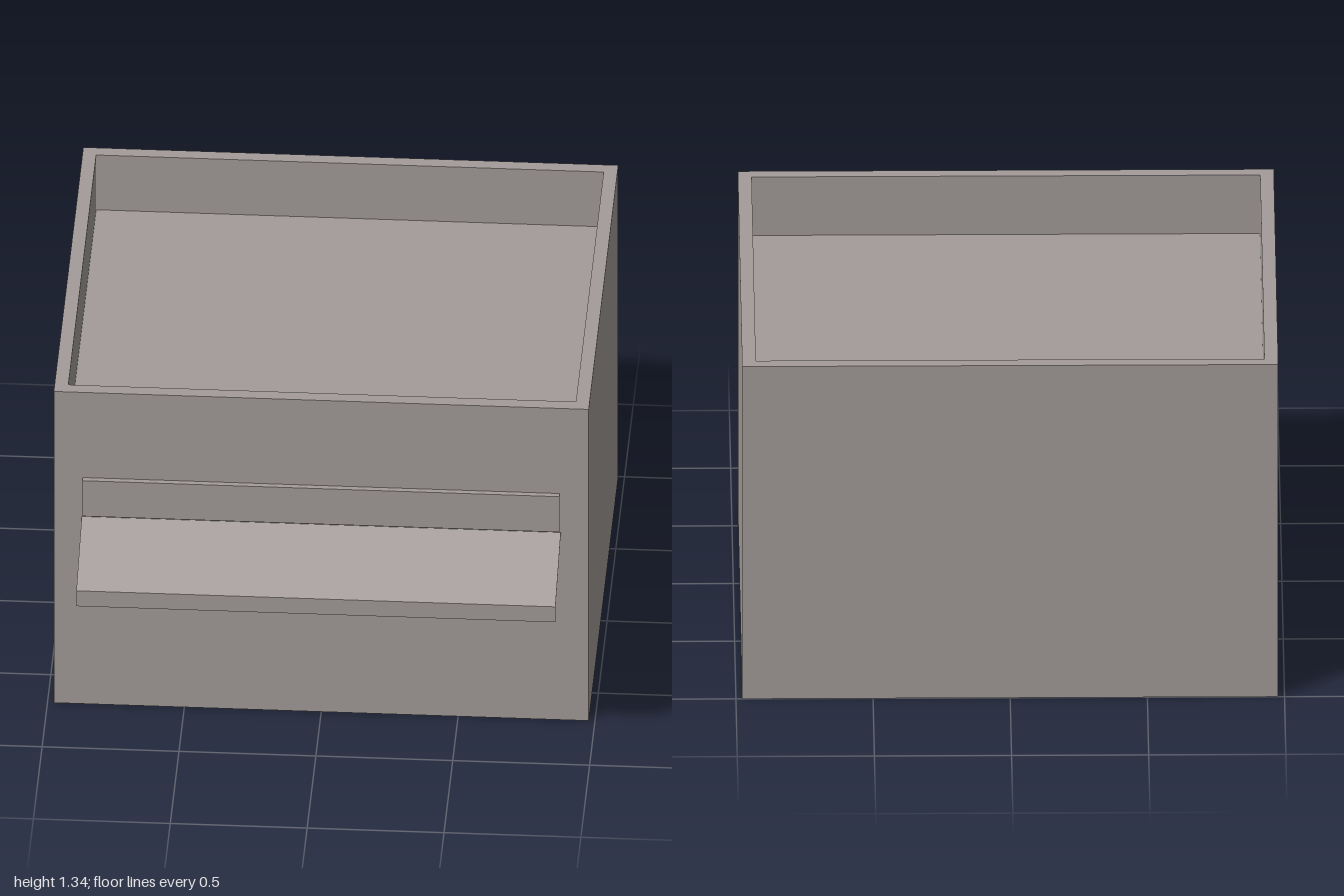
import * as THREE from 'three';

const HALF_W = 0.977, HEIGHT = 1.335, BACK = -1, FRONT = 0.693;
const RIM = 0.05, DECK_Y = 1.1;

// Rectangle in plan, as four corners running round
function corners(halfW, back, front) {
  return [[-halfW, front], [halfW, front], [halfW, back], [-halfW, back]];
}

// Surface joining successive rings of [corners, height]
function ringSurface(rings, capLast) {
  const pos = [];
  const quad = (a, b, c, d) => pos.push(...a, ...b, ...c, ...a, ...c, ...d);
  const at = ([pts, y], i) => [pts[i % 4][0], y, pts[i % 4][1]];
  for (let r = 0; r < rings.length - 1; r++) {
    for (let i = 0; i < 4; i++) {
      quad(at(rings[r], i), at(rings[r], i + 1), at(rings[r + 1], i + 1), at(rings[r + 1], i));
    }
  }
  if (capLast) {
    const last = rings[rings.length - 1];
    quad(at(last, 0), at(last, 1), at(last, 2), at(last, 3));
  }
  const geo = new THREE.BufferGeometry();
  geo.setAttribute('position', new THREE.Float32BufferAttribute(pos, 3));
  geo.computeVertexNormals();
  return geo;
}

export function createModel() {
  const group = new THREE.Group();
  const metal = new THREE.MeshStandardMaterial({ color: 0xa39c99, side: THREE.DoubleSide });
  metal.name = 'warm grey metal';

  const add = (name, geo) => {
    const mesh = new THREE.Mesh(geo, metal);
    mesh.name = name;
    group.add(mesh);
    return mesh;
  };

  const outer = corners(HALF_W, BACK, FRONT);
  const inner = corners(HALF_W - RIM, BACK + RIM, FRONT - RIM);

  // Thin outer walls, open underneath
  add('outerWalls', ringSurface([[outer, 0], [outer, HEIGHT]], false));
  // Flat rim round the top
  add('topRim', ringSurface([[outer, HEIGHT], [inner, HEIGHT]], false));
  // Sunken tray with its deck
  add('recessedDeck', ringSurface([[inner, HEIGHT], [inner, DECK_Y]], true));

  // Raised panel above the awning
  const panel = add('frontPanel', new THREE.BoxGeometry(1.742, 0.152, 0.022));
  panel.position.set(0, 0.894, FRONT + 0.011);

  // Sloping sheet awning with a hanging lip, from its side profile (z, y)
  const profile = new THREE.Shape([
    [FRONT, 0.803], [1, 0.674], [1, 0.608], [0.996, 0.608], [0.996, 0.67], [FRONT, 0.797],
  ].map(([z, y]) => new THREE.Vector2(-z, y)));
  const awning = new THREE.ExtrudeGeometry(profile, { depth: 1.75, bevelEnabled: false });
  awning.translate(0, 0, -0.875).rotateY(Math.PI / 2);
  add('awning', awning);

  return group;
}
